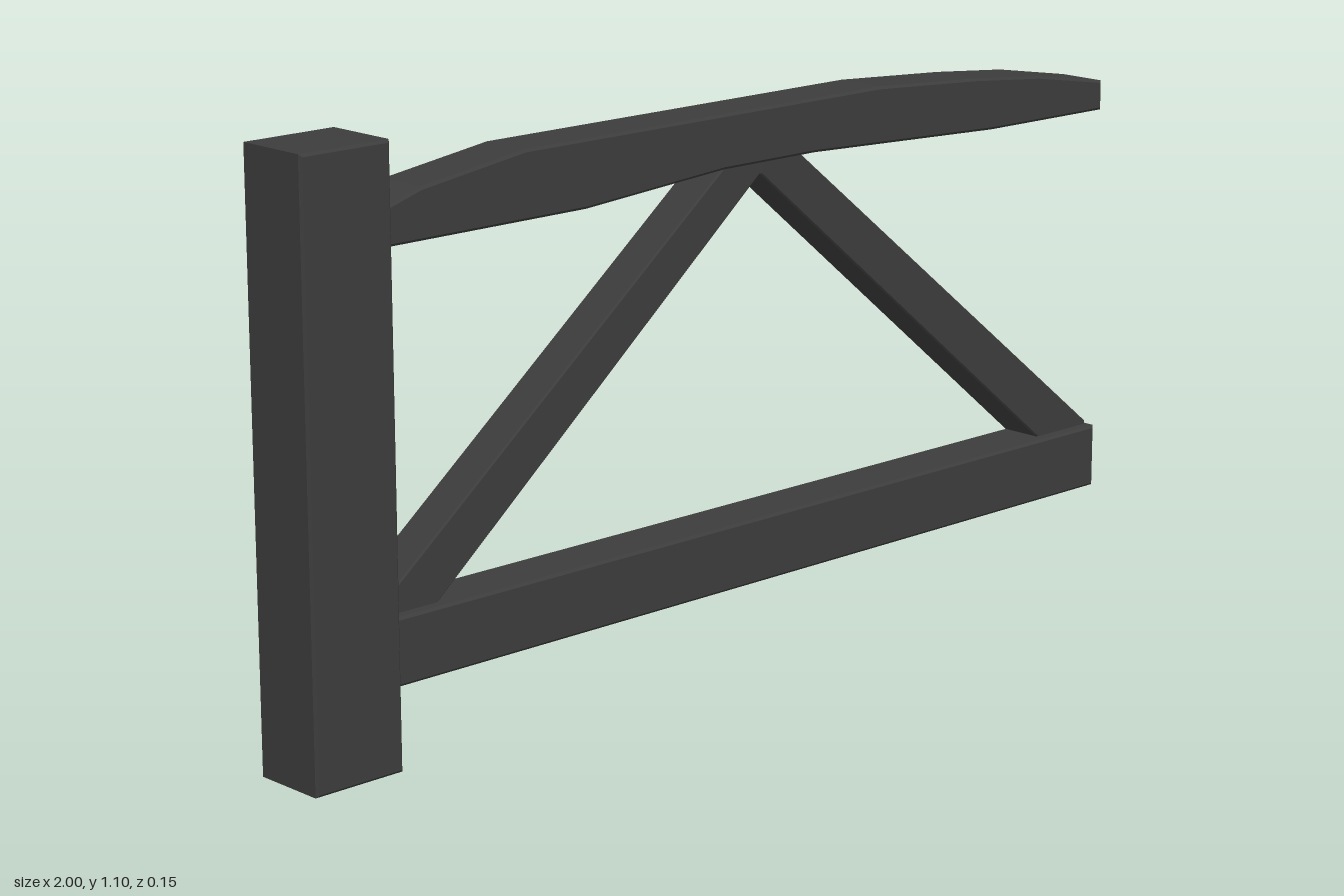
import * as THREE from 'three';

export function createModel() {
  const group = new THREE.Group();
  group.name = 'timberBracket';
  const material = new THREE.MeshStandardMaterial({ color: 0x3c3c3c });

  // Timber cut to a side outline, with slightly worn (bevelled) edges
  function timber(name, outline, zBack, zFront, bevel = 0.005) {
    const shape = new THREE.Shape(outline.map(([x, y]) => new THREE.Vector2(x, y)));
    const geometry = new THREE.ExtrudeGeometry(shape, {
      depth: zFront - zBack - 2 * bevel,
      bevelEnabled: true,
      bevelThickness: bevel,
      bevelSize: bevel,
      bevelOffset: -bevel,
      bevelSegments: 1,
    });
    geometry.translate(0, 0, zBack + bevel);
    const mesh = new THREE.Mesh(geometry, material);
    mesh.name = name;
    group.add(mesh);
  }

  const rect = (x0, x1, y0, y1) => [[x0, y0], [x1, y0], [x1, y1], [x0, y1]];

  // Upright post and straight lower beam
  timber('post', rect(-1, -0.813, 0, 1.097), -0.077, 0.077);
  timber('lowerBeam', rect(-0.83, 0.988, 0.147, 0.271), -0.046, 0.063);

  // Upper beam, hewn thinner towards both ends and hollowed below
  timber('upperBeam', [
    [-0.83, 0.91], [-0.36, 0.91], [-0.03, 0.933], [0.2, 0.933], [0.68, 0.912], [0.998, 0.91],
    [0.998, 0.968], [0.81, 1.0], [0.63, 1.017], [0.37, 1.034], [-0.5, 1.034], [-0.73, 1.002], [-0.83, 0.972],
  ], -0.054, 0.053);

  // Diagonal braces meeting under the upper beam
  timber('leftBrace', [
    [-0.82, 0.24], [-0.737, 0.24], [0.07, 0.91], [0.07, 0.96], [0.01, 0.96], [-0.82, 0.297],
  ], -0.044, 0.041, 0.003);
  timber('rightBrace', [
    [0.07, 0.91], [0.877, 0.24], [0.98, 0.24], [0.985, 0.277], [0.14, 0.96], [0.07, 0.96],
  ], -0.045, 0.041, 0.003);

  return group;
}
